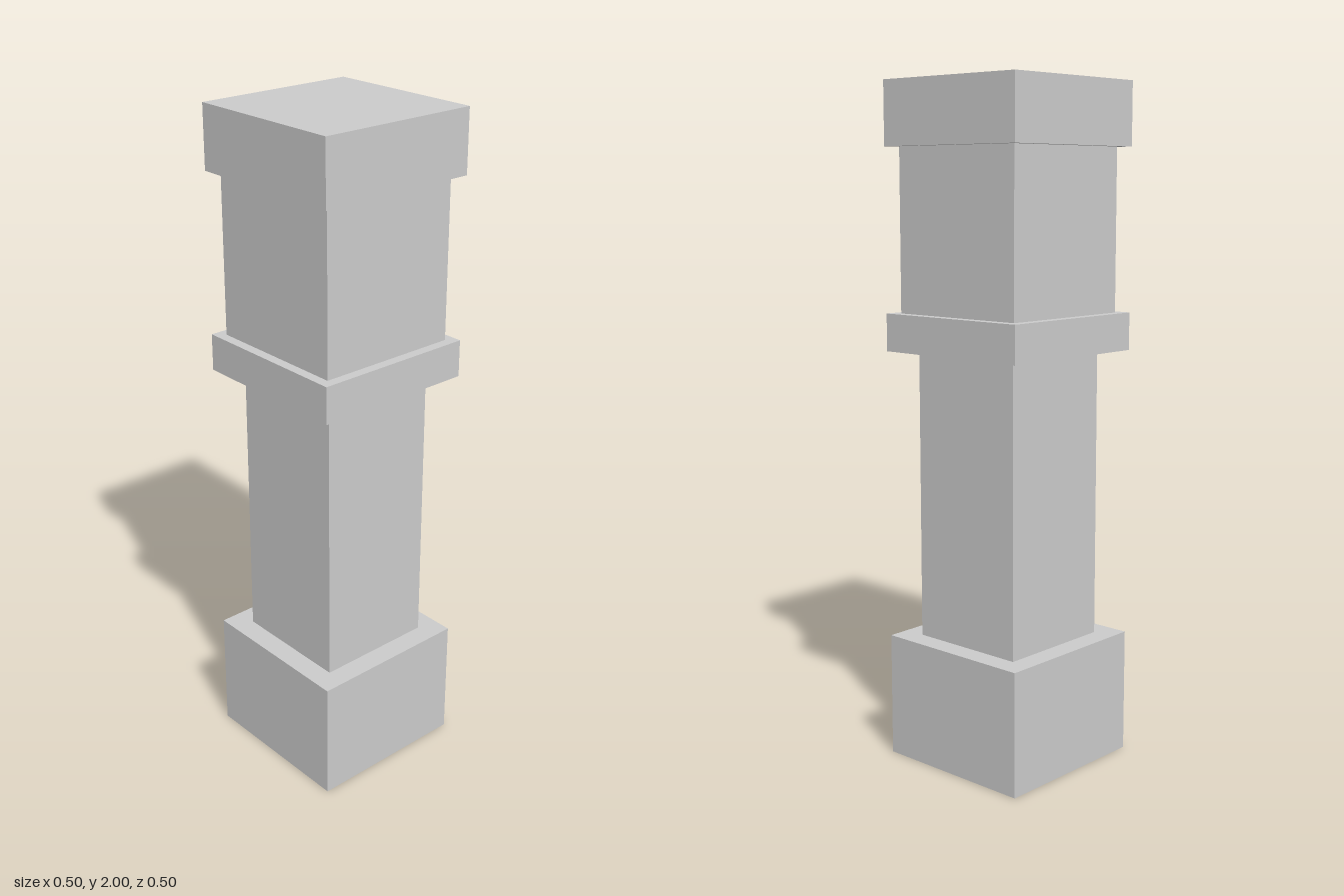
import * as THREE from 'three';

export function createModel() {
  const group = new THREE.Group();
  group.name = 'pillar';
  const material = new THREE.MeshStandardMaterial({
    color: 0xcccccc, flatShading: true, side: THREE.DoubleSide,
  });

  // Square shell swept from [half width, height] points, listed bottom to top
  const addSection = (name, profile) => {
    const points = profile.map(([half, y]) => new THREE.Vector2(half * Math.SQRT2, y));
    const mesh = new THREE.Mesh(new THREE.LatheGeometry(points, 4, Math.PI / 4), material);
    mesh.name = name;
    group.add(mesh);
  };

  const wide = 0.25, lower = 0.184, upper = 0.22;

  // Hollow plinth, open underneath, with a ledge around the shaft
  addSection('base', [[wide, 0], [wide, 0.37], [lower, 0.37]]);
  addSection('lowerShaft', [[lower, 0.37], [lower, 1.23]]);
  // Projecting band between the two shafts
  addSection('collar', [[lower, 1.23], [wide, 1.23], [wide, 1.34], [upper, 1.34]]);
  addSection('upperShaft', [[upper, 1.34], [upper, 1.815]]);
  // Closed block on top
  addSection('cap', [[upper, 1.815], [wide, 1.815], [wide, 2], [0, 2]]);

  return group;
}
